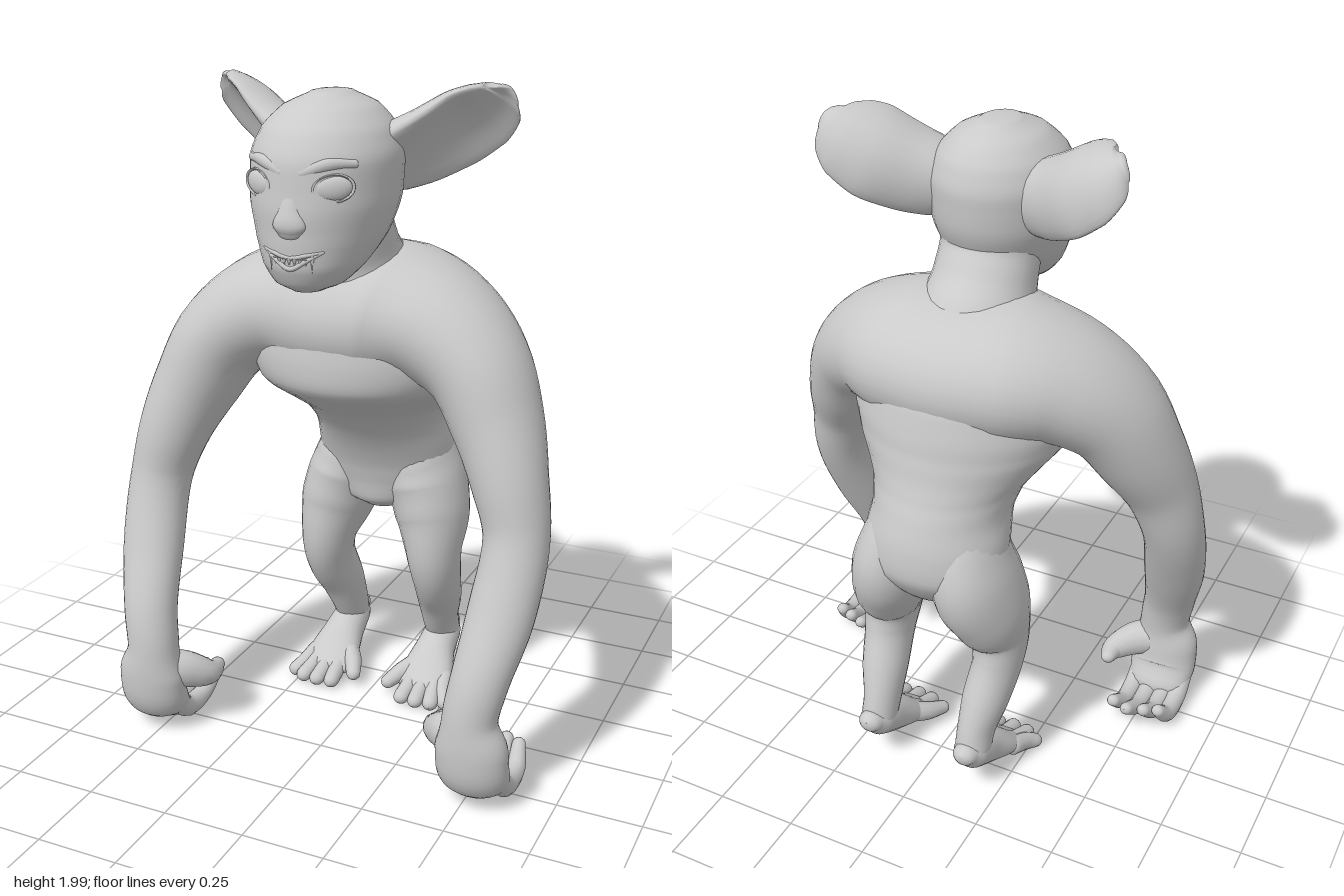
import * as THREE from 'three';

const skin = new THREE.MeshStandardMaterial({ color: 0xcacaca });
skin.name = 'greySkin';
const X = new THREE.Vector3(1, 0, 0);
const Y = new THREE.Vector3(0, 1, 0);
const Z = new THREE.Vector3(0, 0, 1);
const EAR = new THREE.Vector3(0, 0.75, 0.66);

// Smooth limb through rows of [x, y, z, radius along hint, other radius], with rounded ends.
// flat keeps the rings level; cup bends the cross-section into a shell; cap scales the end length.
function loft(rows, hint, { flat = false, cup = 0, sides = 20, steps = 5, cap = 1 } = {}) {
  const path = new THREE.CatmullRomCurve3(rows.map(r => new THREE.Vector3(r[0], r[1], r[2])));
  const size = new THREE.CatmullRomCurve3(rows.map(r => new THREE.Vector3(r[3], r[4], 0)));
  const n = (rows.length - 1) * steps;
  const rings = [];
  for (let k = -4; k <= n + 4; k++) {
    const i = Math.min(Math.max(k, 0), n);
    const over = (k - i) / 4;
    const t = flat ? Y : path.getTangent(i / n);
    const r = size.getPoint(i / n);
    const c = path.getPoint(i / n);
    c.addScaledVector(t, Math.sin(over * Math.PI / 2) * Math.min(r.x, r.y) * cap);
    const f = Math.max(Math.cos(over * Math.PI / 2), 0.01);
    rings.push({ c, t, a: r.x * f, b: r.y * f });
  }
  const pos = [], idx = [];
  rings.forEach(({ c, t, a, b }, i) => {
    const u = hint.clone().addScaledVector(t, -hint.dot(t)).normalize();
    const v = t.clone().cross(u);
    for (let j = 0; j < sides; j++) {
      const q = j / sides * Math.PI * 2;
      const p = c.clone().addScaledVector(u, Math.cos(q) * a)
        .addScaledVector(v, Math.sin(q) * b + cup * a * Math.cos(q) ** 2);
      pos.push(p.x, p.y, p.z);
      if (i < rings.length - 1) {
        const k = (j + 1) % sides, o = i * sides;
        idx.push(o + j, o + k, o + sides + k, o + j, o + sides + k, o + sides + j);
      }
    }
  });
  const g = new THREE.BufferGeometry();
  g.setAttribute('position', new THREE.Float32BufferAttribute(pos, 3));
  g.setIndex(idx);
  g.computeVertexNormals();
  return g;
}

export function createModel() {
  const root = new THREE.Group();
  root.name = 'goblinApe';
  const add = (name, geometry, parent = root) => {
    const m = new THREE.Mesh(geometry, skin);
    m.name = name;
    parent.add(m);
    return m;
  };
  const side = (rows, s) => rows.map(([x, ...rest]) => [x * s, ...rest]);

  // Torso, leaning forward from the hips to an overhanging chest
  add('torso', loft([
    [0, 0.65, -0.225, 0.07, 0.07], [0, 0.68, -0.24, 0.14, 0.125], [0, 0.77, -0.262, 0.217, 0.168],
    [0, 0.86, -0.245, 0.217, 0.187], [0, 0.94, -0.21, 0.207, 0.203], [0, 1.01, -0.165, 0.224, 0.222],
    [0, 1.07, -0.11, 0.268, 0.258], [0, 1.13, -0.062, 0.315, 0.293], [0, 1.20, -0.05, 0.335, 0.293],
    [0, 1.28, -0.045, 0.33, 0.28], [0, 1.36, -0.04, 0.29, 0.25], [0, 1.44, -0.03, 0.22, 0.19],
    [0, 1.49, -0.02, 0.13, 0.12],
  ], X, { flat: true, sides: 36, cap: 0.15 }));
  add('neck', loft([
    [0, 1.38, -0.01, 0.20, 0.20], [0, 1.46, 0.025, 0.17, 0.18], [0, 1.53, 0.055, 0.152, 0.145],
    [0, 1.61, 0.09, 0.148, 0.132], [0, 1.70, 0.11, 0.15, 0.15],
  ], X, { sides: 28, cap: 0.5 }));

  // Shoulders and both long arms as one run, ending in curled palms
  const arm = [
    [0.15, 1.322, -0.032, 0.275, 0.205], [0.28, 1.30, 0, 0.226, 0.172], [0.40, 1.217, 0.045, 0.182, 0.147],
    [0.478, 1.08, 0.09, 0.15, 0.13], [0.535, 0.94, 0.14, 0.118, 0.11], [0.575, 0.78, 0.175, 0.097, 0.094],
    [0.565, 0.58, 0.255, 0.084, 0.096], [0.535, 0.40, 0.335, 0.076, 0.083], [0.518, 0.29, 0.357, 0.073, 0.08],
    [0.525, 0.20, 0.358, 0.076, 0.107], [0.527, 0.12, 0.345, 0.077, 0.108], [0.527, 0.07, 0.30, 0.052, 0.097],
  ];
  add('shouldersAndArms', loft(
    [...side(arm, -1).reverse(), [0, 1.318, -0.04, 0.288, 0.212], ...arm], Z, { sides: 32 }));

  // Head
  const head = new THREE.Group();
  head.name = 'head';
  root.add(head);
  add('skull', loft([
    [0, 1.462, 0.295, 0.05, 0.06], [0, 1.48, 0.285, 0.095, 0.10], [0, 1.53, 0.25, 0.14, 0.16],
    [0, 1.60, 0.205, 0.175, 0.21], [0, 1.70, 0.18, 0.202, 0.235], [0, 1.80, 0.17, 0.205, 0.235],
    [0, 1.88, 0.16, 0.178, 0.205], [0, 1.935, 0.15, 0.125, 0.15], [0, 1.965, 0.145, 0.06, 0.08],
  ], X, { flat: true, sides: 36, cap: 0.15 }), head);
  add('nose', loft([
    [0, 1.75, 0.385, 0.02, 0.015], [0, 1.69, 0.402, 0.032, 0.02],
    [0, 1.65, 0.406, 0.048, 0.025], [0, 1.63, 0.402, 0.038, 0.02],
  ], X), head);

  // Grinning mouth with small teeth and two pairs of fangs
  for (const [name, y] of [['upperLip', 1.565], ['lowerLip', 1.535]]) {
    const bend = (1.582 + y) / 2;
    add(name, loft([
      [-0.085, 1.582, 0.384, 0.004, 0.004], [-0.045, bend, 0.404, 0.006, 0.006], [0, y, 0.409, 0.007, 0.007],
      [0.045, bend, 0.404, 0.006, 0.006], [0.085, 1.582, 0.384, 0.004, 0.004],
    ], Z, { sides: 10 }), head);
  }
  for (let i = -4; i <= 4; i++) {
    const fang = Math.abs(i) === 4;
    const x = i * 0.015;
    const tooth = add(fang ? 'fang' : 'tooth', new THREE.ConeGeometry(0.007, fang ? 0.05 : 0.022, 8), head);
    tooth.position.set(x, fang ? 1.55 : 1.553, 0.411 - x * x * 4);
    tooth.rotation.x = Math.PI;
    if (Math.abs(i) === 3) {
      const low = add('lowerFang', new THREE.ConeGeometry(0.007, 0.03, 8), head);
      low.position.set(x, 1.56, 0.406 - x * x * 4);
    }
  }

  for (const s of [1, -1]) {
    const label = s > 0 ? 'left' : 'right';

    // Eye, lid rim and brow
    const eye = new THREE.Group();
    eye.name = label + 'Eye';
    eye.position.set(0.108 * s, 1.748, 0.367);
    eye.rotation.set(0, 0.5 * s, 0.1 * s);
    head.add(eye);
    add('eyeball', new THREE.SphereGeometry(1, 20, 14), eye).scale.set(0.05, 0.032, 0.015);
    add('eyelid', new THREE.TorusGeometry(1, 0.08, 8, 28), eye).scale.set(0.054, 0.036, 0.09);
    add(label + 'Brow', loft(side([
      [0.03, 1.785, 0.394, 0.011, 0.014], [0.09, 1.808, 0.374, 0.012, 0.016], [0.15, 1.808, 0.324, 0.009, 0.011],
    ], s), Z, { sides: 12 }), head);

    // Large cupped ear
    add(label + 'Ear', loft(side([
      [0.14, 1.81, 0.07, 0.115, 0.06], [0.21, 1.845, 0.025, 0.13, 0.05], [0.29, 1.895, -0.025, 0.14, 0.038],
      [0.365, 1.932, -0.048, 0.122, 0.03], [0.412, 1.957, -0.05, 0.085, 0.022], [0.43, 1.967, -0.045, 0.045, 0.014],
    ], s), EAR, { cup: 0.4 * s, sides: 28 }), head);

    // Curled fingers and thumb
    const hand = new THREE.Group();
    hand.name = label + 'Hand';
    root.add(hand);
    [0.455, 0.507, 0.558, 0.602].forEach((x, i) => {
      const tip = 0.09 + Math.abs(i - 1) * 0.018;
      add('finger', loft(side([
        [x, 0.10, 0.34, 0.03, 0.032], [x, 0.047, 0.275, 0.032, 0.034],
        [x, 0.047, 0.18, 0.029, 0.029], [x - 0.01, 0.095, tip, 0.021, 0.02],
      ], s), X, { sides: 12 }), hand);
    });
    add('thumb', loft(side([
      [0.50, 0.215, 0.35, 0.06, 0.06], [0.43, 0.20, 0.31, 0.058, 0.05],
      [0.38, 0.178, 0.26, 0.04, 0.038], [0.38, 0.18, 0.21, 0.022, 0.024],
    ], s), Y, { sides: 14 }), hand);

    // Bent leg, rising into the hip
    const leg = new THREE.Group();
    leg.name = label + 'Leg';
    root.add(leg);
    add('legShape', loft(side([
      [0.095, 0.94, -0.225, 0.075, 0.11], [0.11, 0.83, -0.255, 0.107, 0.15], [0.133, 0.73, -0.262, 0.122, 0.166],
      [0.165, 0.62, -0.235, 0.115, 0.145], [0.183, 0.51, -0.205, 0.086, 0.108], [0.187, 0.42, -0.225, 0.074, 0.098],
      [0.175, 0.31, -0.285, 0.07, 0.08], [0.165, 0.22, -0.325, 0.057, 0.07], [0.165, 0.16, -0.35, 0.055, 0.06],
    ], s), X, { sides: 24 }), leg);

    // Foot sloping down from a raised heel, with spread toes
    add('foot', loft(side([
      [0.165, 0.17, -0.40, 0.04, 0.035], [0.165, 0.155, -0.365, 0.056, 0.055], [0.165, 0.12, -0.29, 0.064, 0.062],
      [0.168, 0.07, -0.20, 0.085, 0.042], [0.17, 0.045, -0.15, 0.08, 0.028],
    ], s), X), leg);
    [[0.135, 0.125, -0.085], [0.17, 0.175, -0.08], [0.205, 0.225, -0.085], [0.23, 0.265, -0.11]].forEach(([x0, x1, z]) => {
      add('toe', loft(side([
        [x0, 0.065, -0.20, 0.03, 0.03], [(x0 + x1) / 2, 0.042, -0.14, 0.027, 0.028], [x1, 0.028, z, 0.025, 0.023],
      ], s), X, { sides: 12 }), leg);
    });
    add('bigToe', loft(side([
      [0.14, 0.09, -0.24, 0.035, 0.035], [0.09, 0.065, -0.18, 0.03, 0.03], [0.062, 0.048, -0.125, 0.023, 0.022],
    ], s), X, { sides: 12 }), leg);
  }
  return root;
}
